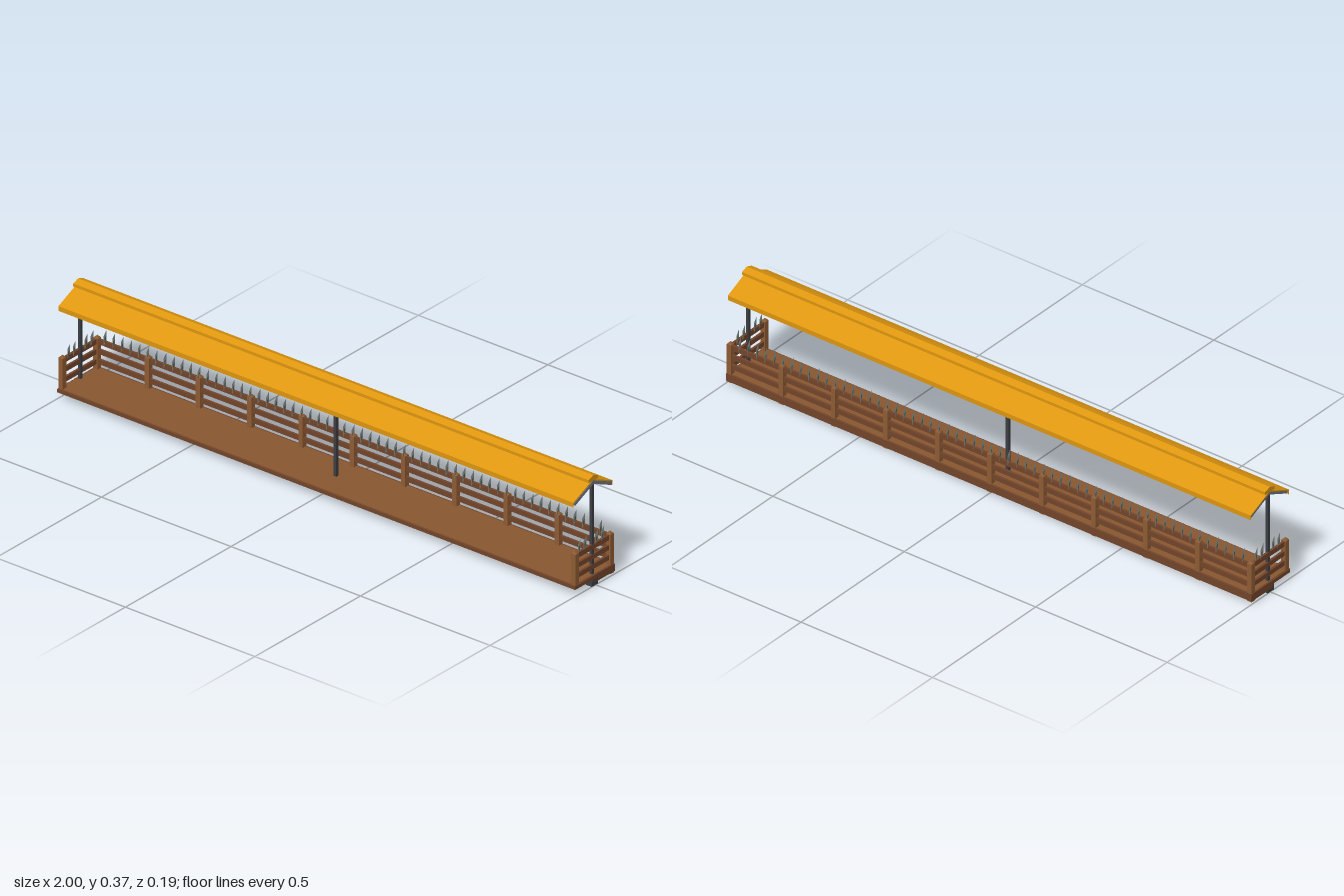
import * as THREE from 'three';

export function createModel() {
  const model = new THREE.Group();
  const mat = (name, color, side = THREE.FrontSide) => {
    const m = new THREE.MeshStandardMaterial({ color, side });
    m.name = name;
    return m;
  };
  const roofOrange = mat('roof orange', 0xdf9710);
  const postBrown = mat('post brown', 0x8f5c33);
  const railBrown = mat('rail brown', 0x73452b);
  const deckBrown = mat('deck brown', 0x89572f);
  const metal = mat('dark metal', 0x3b3e43);
  const rafterGrey = mat('rafter grey', 0x74777c);
  const paneGrey = mat('pane grey', 0xa9b0aa, THREE.DoubleSide);
  const leafGreen = mat('leaf green', 0x5f7560, THREE.DoubleSide);

  const add = (name, geometry, material, x = 0, y = 0, z = 0, parent = model) => {
    const mesh = new THREE.Mesh(geometry, material);
    mesh.name = name;
    mesh.position.set(x, y, z);
    parent.add(mesh);
    return mesh;
  };
  // box given by its limits on each axis
  const box = (name, material, [x0, x1], [y0, y1], [z0, z1]) =>
    add(name, new THREE.BoxGeometry(x1 - x0, y1 - y0, z1 - z0), material,
      (x0 + x1) / 2, (y0 + y1) / 2, (z0 + z1) / 2);
  // section in (z, y), swept along x
  const sweep = (name, material, points, x0, x1) => {
    const shape = new THREE.Shape(points.map(([z, y]) => new THREE.Vector2(-z, y)));
    const geometry = new THREE.ExtrudeGeometry(shape, { depth: x1 - x0, bevelEnabled: false });
    geometry.rotateY(Math.PI / 2);
    return add(name, geometry, material, x0);
  };

  // walkway
  box('deck', railBrown, [-1, 1], [0.022, 0.034], [-0.09, 0.097]);
  box('deckTop', deckBrown, [-0.995, 0.995], [0.034, 0.036], [-0.085, 0.092]);
  box('backBoard', railBrown, [-1, 1], [0.01, 0.035], [-0.091, -0.084]);

  // fence posts with pyramid tops
  const cap = new THREE.ConeGeometry(0.0085 * Math.SQRT2, 0.009, 4, 1).rotateY(Math.PI / 4);
  const post = (x, z, bottom) => {
    box('fencePost', postBrown, [x - 0.0085, x + 0.0085], [bottom, 0.139], [z - 0.0085, z + 0.0085]);
    add('postTop', cap, postBrown, x, 0.1435, z);
  };
  for (let i = 0; i <= 10; i++) post(-0.99 + i * 0.198, -0.08, 0.006);
  for (const s of [-1, 1]) post(s * 0.99, 0.085, 0.022);

  // rails along the back and across both ends
  for (const [y0, y1] of [[0.12, 0.137], [0.087, 0.103], [0.053, 0.069]]) {
    box('backRail', railBrown, [-0.99, 0.99], [y0, y1], [-0.084, -0.076]);
    for (const s of [-1, 1])
      box('endRail', railBrown, [s * 0.99 - 0.004, s * 0.99 + 0.004], [y0, y1], [-0.08, 0.085]);
  }
  for (const s of [-1, 1])
    box('endBoard', railBrown, [s * 0.994 - 0.006, s * 0.994 + 0.006], [0.01, 0.035], [-0.09, 0.017]);

  // slanted panes with leaves, standing in rows on the top rails
  const paneShape = new THREE.PlaneGeometry(0.039, 0.034);
  const leafShape = new THREE.BoxGeometry(0.018, 0.014, 0.001);
  const pane = (x, z) => {
    const g = new THREE.Group();
    g.name = 'railPane';
    g.position.set(x, 0.149, z);
    g.rotation.y = -Math.PI * 0.35;
    add('pane', paneShape, paneGrey, 0, 0, 0, g);
    add('leaves', leafShape, leafGreen, 0, -0.004, 0, g);
    model.add(g);
  };
  for (let i = 0; i < 59; i++) pane(-0.957 + i * 0.033, -0.077);
  for (const s of [-1, 1])
    for (const z of [0.06, 0.033, -0.022, -0.05]) pane(s * 0.986, z);

  // poles, feet and sloping rafters
  for (const x of [-0.988, 0, 0.988]) {
    box('pole', metal, [x - 0.005, x + 0.005], [0, 0.352], [-0.002, 0.008]);
    box('poleFoot', metal, [x - 0.012, x + 0.012], [0, 0.022], [-0.012, 0.018]);
    for (const s of [-1, 1]) {
      const pts = [[0, 0.352], [0.09, 0.312], [0.086, 0.302], [0, 0.341]]
        .map(([z, y]) => [0.003 + s * z, y]);
      sweep('rafter', rafterGrey, pts, x - 0.006, x + 0.006);
    }
  }

  // roof: two slopes with hanging lips, and a ridge cap
  for (const s of [-1, 1]) {
    const pts = [[0, 0.356], [0.093, 0.314], [0.093, 0.298], [0.0915, 0.298], [0.0915, 0.311], [0, 0.352]]
      .map(([z, y]) => [0.002 + s * z, y]);
    sweep('roofSlope', roofOrange, pts, -0.997, 0.992);
  }
  sweep('ridgeCap', roofOrange,
    [[0.025, 0.352], [0.025, 0.362], [0.002, 0.37], [-0.021, 0.362], [-0.021, 0.352]], -0.997, 0.993);

  return model;
}
